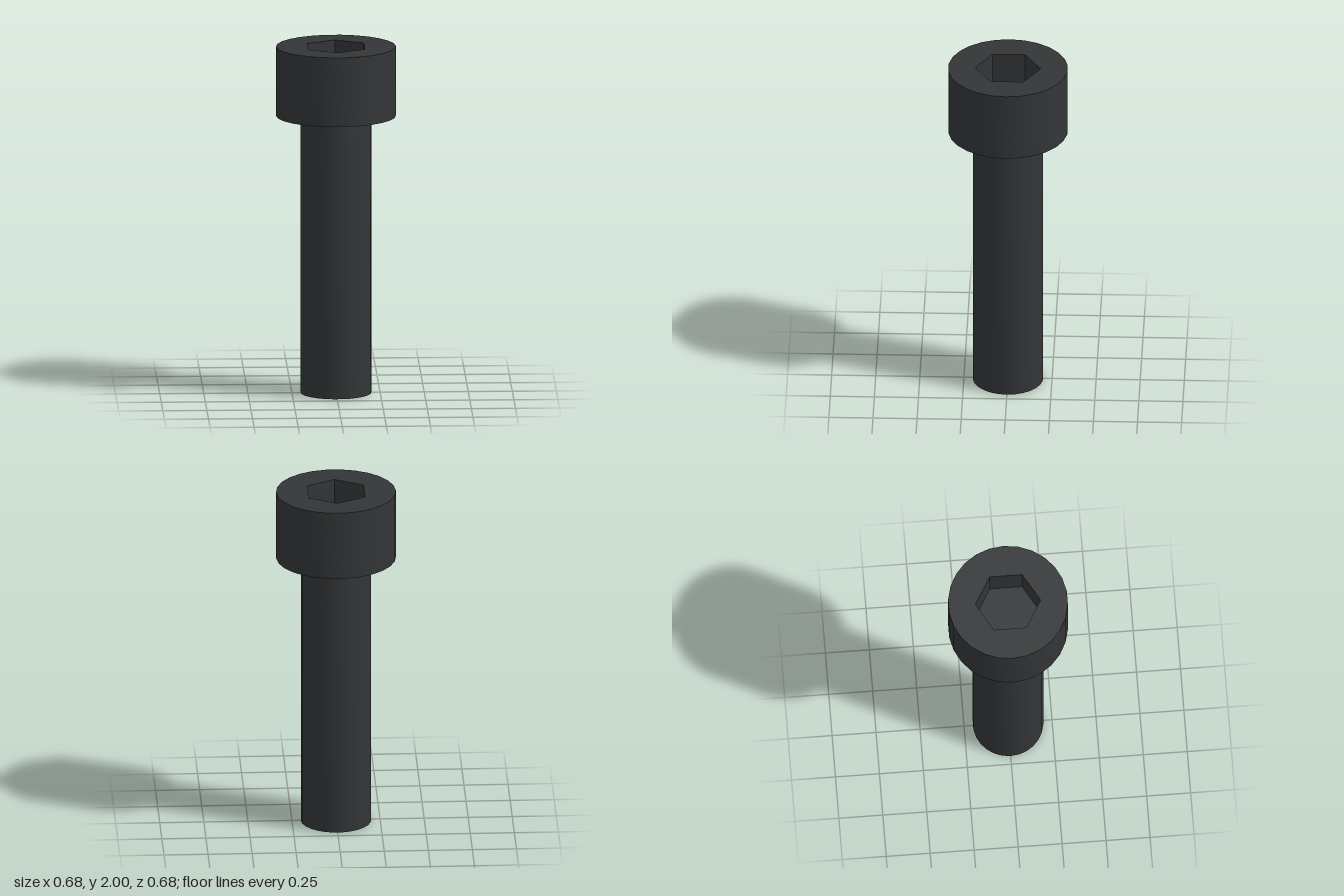
import * as THREE from 'three';
import { toCreasedNormals } from 'three/addons/utils/BufferGeometryUtils.js';

const SIDES = 26;
const SHAFT_R = 0.2, HEAD_R = 0.34, SOCKET_R = 0.185;
const HEAD_Y = 1.6, TOP_Y = 2, SOCKET_DEPTH = 0.2;

// Corners of a regular polygon
function polygon(radius, sides, start = 0) {
  return Array.from({ length: sides }, (_, i) => {
    const a = start + (i / sides) * Math.PI * 2;
    return new THREE.Vector2(radius * Math.cos(a), radius * Math.sin(a));
  });
}

// Turned surface, smooth around and sharp at the rims
function turned(profile) {
  const points = profile.map(([r, y]) => new THREE.Vector2(r, y));
  return toCreasedNormals(new THREE.LatheGeometry(points, SIDES, Math.PI / 2), Math.PI / 6);
}

export function createModel() {
  const bolt = new THREE.Group();
  bolt.name = 'socketHeadBolt';
  const material = new THREE.MeshStandardMaterial({ color: 0x333537 });

  const add = (parent, name, geometry, y = 0) => {
    const mesh = new THREE.Mesh(geometry, material);
    mesh.name = name;
    mesh.position.y = y;
    parent.add(mesh);
  };

  // Plain shaft with a flat end
  add(bolt, 'shaft', turned([[0, 0], [SHAFT_R, 0], [SHAFT_R, HEAD_Y]]));

  // Head: underside and side wall
  const head = new THREE.Group();
  head.name = 'head';
  bolt.add(head);
  add(head, 'headSide', turned([[SHAFT_R, HEAD_Y], [HEAD_R, HEAD_Y], [HEAD_R, TOP_Y]]));

  // Top face with the hexagonal opening
  const face = new THREE.Shape(polygon(HEAD_R, SIDES));
  face.holes.push(new THREE.Path(polygon(SOCKET_R, 6, Math.PI / 2)));
  add(head, 'headTop', new THREE.ShapeGeometry(face).rotateX(-Math.PI / 2), TOP_Y);

  // Socket walls, mirrored so they face inward
  const walls = new THREE.CylinderGeometry(SOCKET_R, SOCKET_R, SOCKET_DEPTH, 6, 1, true).scale(-1, 1, 1);
  add(head, 'socketWalls', toCreasedNormals(walls, Math.PI / 6), TOP_Y - SOCKET_DEPTH / 2);

  // Socket floor
  const floor = new THREE.CircleGeometry(SOCKET_R, 6, Math.PI / 2).rotateX(-Math.PI / 2);
  add(head, 'socketFloor', floor, TOP_Y - SOCKET_DEPTH);

  return bolt;
}
